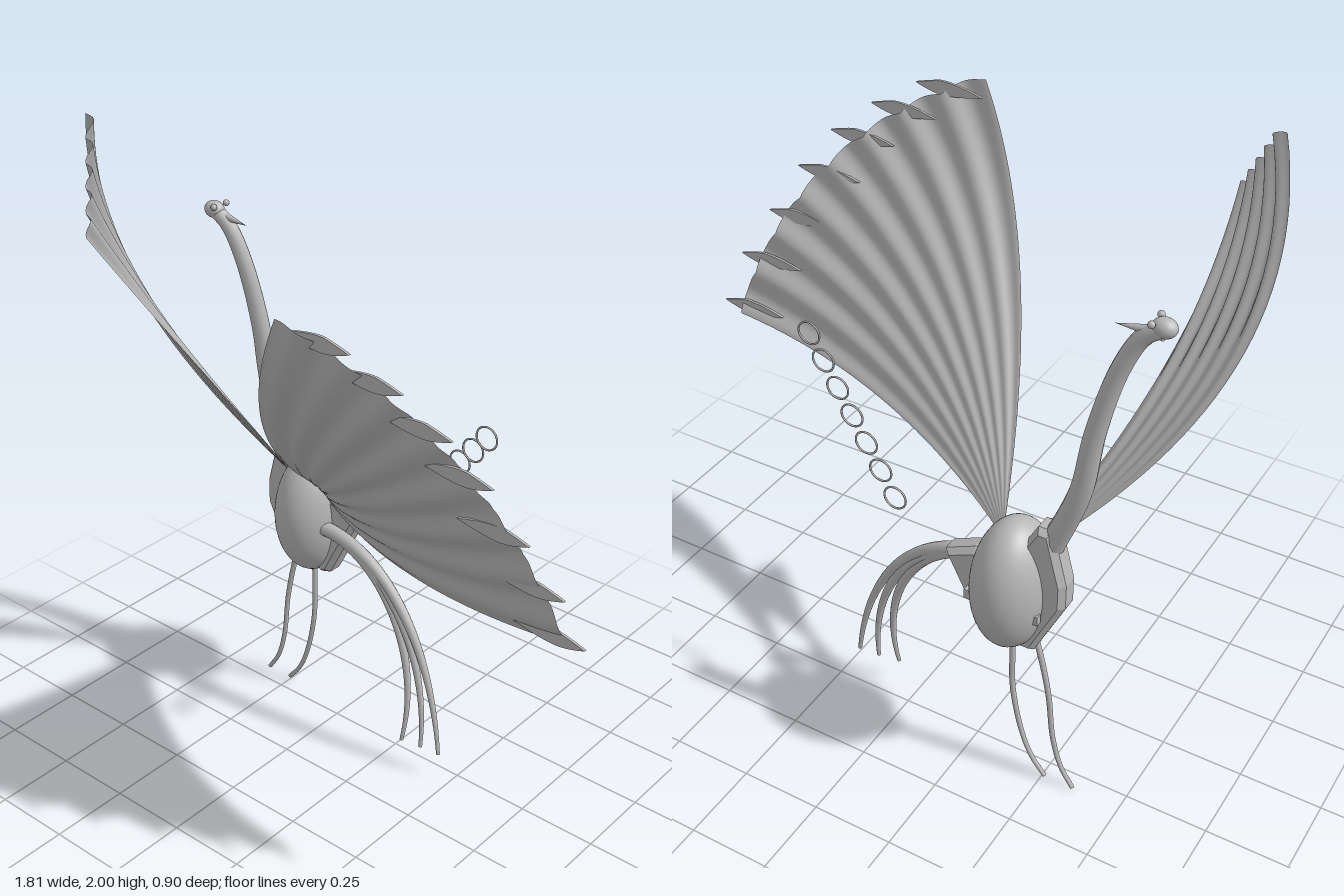
import * as THREE from 'three';
import { ParametricGeometry } from 'three/addons/geometries/ParametricGeometry.js';

const V = (x, y, z) => new THREE.Vector3(x, y, z);

export function createModel() {
  const model = new THREE.Group();
  const grey = new THREE.MeshStandardMaterial({ color: 0xb8b8b8, side: THREE.DoubleSide });
  grey.name = 'plain grey';

  function add(name, geometry, x = 0, y = 0, z = 0) {
    const mesh = new THREE.Mesh(geometry, grey);
    mesh.name = name;
    mesh.position.set(x, y, z);
    model.add(mesh);
    return mesh;
  }

  // Tube that narrows from radius r0 to r1
  function taperedTube(curve, r0, r1, segments = 32, sides = 12) {
    const geo = new THREE.TubeGeometry(curve, segments, 1, sides);
    const pos = geo.attributes.position;
    const p = new THREE.Vector3();
    for (let i = 0; i <= segments; i++) {
      const centre = curve.getPointAt(i / segments);
      const r = r0 + (r1 - r0) * i / segments;
      for (let j = 0; j <= sides; j++) {
        const k = i * (sides + 1) + j;
        p.fromBufferAttribute(pos, k).sub(centre).multiplyScalar(r).add(centre);
        pos.setXYZ(k, p.x, p.y, p.z);
      }
    }
    return geo;
  }

  // Pleated wing: curved ribs fanned from a narrow root, with waves across
  function pleatedWing(rib, waves, depth, scallop) {
    return new ParametricGeometry((u, v, target) => {
      const wave = Math.abs(Math.sin(u * waves * Math.PI));
      const t = v * (1 + scallop * wave);
      const curve = rib(u);
      const p = curve.getPoint(t);
      const along = curve.getPoint(t + 0.01).sub(p);
      const across = rib(u + 0.01).getPoint(t).sub(rib(u - 0.01).getPoint(t));
      const normal = along.cross(across).normalize();
      const ripple = -0.5 * Math.cos(u * waves * 2 * Math.PI);
      target.copy(p).addScaledVector(normal, depth * ripple * v);
    }, waves * 14, 28);
  }

  // Body
  const body = add('body', new THREE.SphereGeometry(1, 48, 32), -0.39, 0.71, -0.31);
  body.scale.set(0.115, 0.21, 0.145);

  // Left wing, spread wide
  const leftTip = (u) => {
    const angle = THREE.MathUtils.degToRad(6.5 + 57.2 * u);
    const r = 1.157 - 0.097 * u;
    return V(-0.32 + r * Math.cos(angle), 0.82 + r * Math.sin(angle), 0.12 + 0.33 * u);
  };
  const leftRib = (u) => {
    const root = V(-0.31 - 0.02 * u, 0.82 + 0.025 * u, -0.26);
    const tip = leftTip(u);
    const bend = root.clone().add(tip).multiplyScalar(0.5);
    bend.z += 0.2 + 0.09 * u;
    return new THREE.QuadraticBezierCurve3(root, bend, tip);
  };
  add('leftWing', pleatedWing(leftRib, 8, 0.019, 0.012));

  // Right wing, raised and twisted
  const rightRib = (u) => new THREE.QuadraticBezierCurve3(
    V(-0.46 + 0.03 * u, 0.84, -0.27 + 0.01 * u),
    V(-1.05 + 0.36 * u, 1.42 - 0.14 * u, -0.05 * u),
    V(-0.855 + 0.155 * u, 2.0 - 0.28 * u, 0.1 + 0.17 * u));
  add('rightWing', pleatedWing(rightRib, 5, 0.024, 0.016));

  // Pointed feather blades along the edge of the left wing
  const blade = new THREE.Shape();
  blade.moveTo(-0.11, 0);
  blade.quadraticCurveTo(-0.02, 0.026, 0.03, 0.022);
  blade.quadraticCurveTo(0.06, 0.016, 0.11, 0);
  blade.quadraticCurveTo(0.06, -0.018, 0.03, -0.02);
  blade.quadraticCurveTo(-0.02, -0.022, -0.11, 0);
  const bladeGeo = new THREE.ExtrudeGeometry(blade, { depth: 0.008, bevelEnabled: false });
  const bladeTips = [[0.36, 1.73, 0.41], [0.49, 1.65, 0.37], [0.61, 1.55, 0.33],
    [0.70, 1.43, 0.28], [0.78, 1.28, 0.23], [0.86, 1.13, 0.18], [0.90, 0.975, 0.13]];
  for (const [x, y, z] of bladeTips) add('wingBlade', bladeGeo, x - 0.11, y, z - 0.004);

  // Chamfered shoulder and hip plates
  function plate(name, points) {
    const shape = new THREE.Shape(points.map(([x, y]) => new THREE.Vector2(x, y)));
    add(name, new THREE.ExtrudeGeometry(shape, {
      depth: 0.044, bevelThickness: 0.02, bevelSize: 0.015, bevelOffset: -0.015, bevelSegments: 1,
    }), 0, 0, -0.329);
  }
  plate('tailPlate', [[-0.40, 0.60], [-0.34, 0.51], [-0.305, 0.52], [-0.185, 0.755], [-0.28, 0.80], [-0.38, 0.8]]);
  plate('neckPlate', [[-0.40, 0.51], [-0.40, 0.82], [-0.47, 0.95], [-0.515, 0.95], [-0.56, 0.78], [-0.56, 0.70], [-0.47, 0.51]]);

  // Neck, head, beak and eyes
  const neck = new THREE.CatmullRomCurve3([V(-0.5, 0.88, -0.31), V(-0.58, 1.1, -0.315),
    V(-0.61, 1.3, -0.31), V(-0.66, 1.5, -0.295), V(-0.71, 1.6, -0.285), V(-0.76, 1.635, -0.28)]);
  add('neck', taperedTube(neck, 0.035, 0.023));
  const head = add('head', new THREE.SphereGeometry(0.028, 20, 14), -0.757, 1.635, -0.28);
  head.scale.set(1.2, 0.95, 1);
  const beak = add('beak', new THREE.ConeGeometry(0.02, 0.13, 16), -0.695, 1.617, -0.285);
  beak.rotation.z = -Math.PI / 2 - 0.1;
  for (const side of [-1, 1]) {
    add('eye', new THREE.SphereGeometry(0.01, 12, 8), -0.735, 1.652, -0.282 + side * 0.027);
    add('sideStud', new THREE.BoxGeometry(0.03, 0.03, 0.02), -0.385 + side * 0.1, 0.66, -0.365);
  }

  // Three tail plumes sharing one arched root
  const plumes = [[0.205, 0.14, 0.50, -0.205], [0.138, 0.14, 0.45, -0.20], [0.07, 0.12, 0.42, -0.19]];
  for (const [x, bendX, bendY, z] of plumes) {
    add('tailPlume', taperedTube(new THREE.CubicBezierCurve3(V(-0.31, 0.70, -0.25),
      V(-0.07, 0.72, -0.24), V(bendX, bendY, -0.235), V(x, 0.09, z)), 0.024, 0.006));
  }

  // Thin trailing legs
  for (const points of [
    [[-0.46, 0.54], [-0.485, 0.45], [-0.51, 0.33], [-0.53, 0.17], [-0.56, 0.07], [-0.60, 0.006]],
    [[-0.39, 0.54], [-0.39, 0.45], [-0.395, 0.30], [-0.43, 0.14], [-0.465, 0.06], [-0.508, 0.006]]]) {
    const path = new THREE.CatmullRomCurve3(points.map(([x, y]) => V(x, y, -0.305)));
    add('leg', taperedTube(path, 0.009, 0.007));
  }

  // Rising chain of loose rings behind the left wing
  const ringGeo = new THREE.TorusGeometry(0.035, 0.003, 8, 32);
  for (let i = 0; i < 7; i++) {
    add('ring', ringGeo, -0.018 + i * 0.056, 0.858 + i * 0.063, -0.325 + i * 0.016);
  }

  return model;
}
